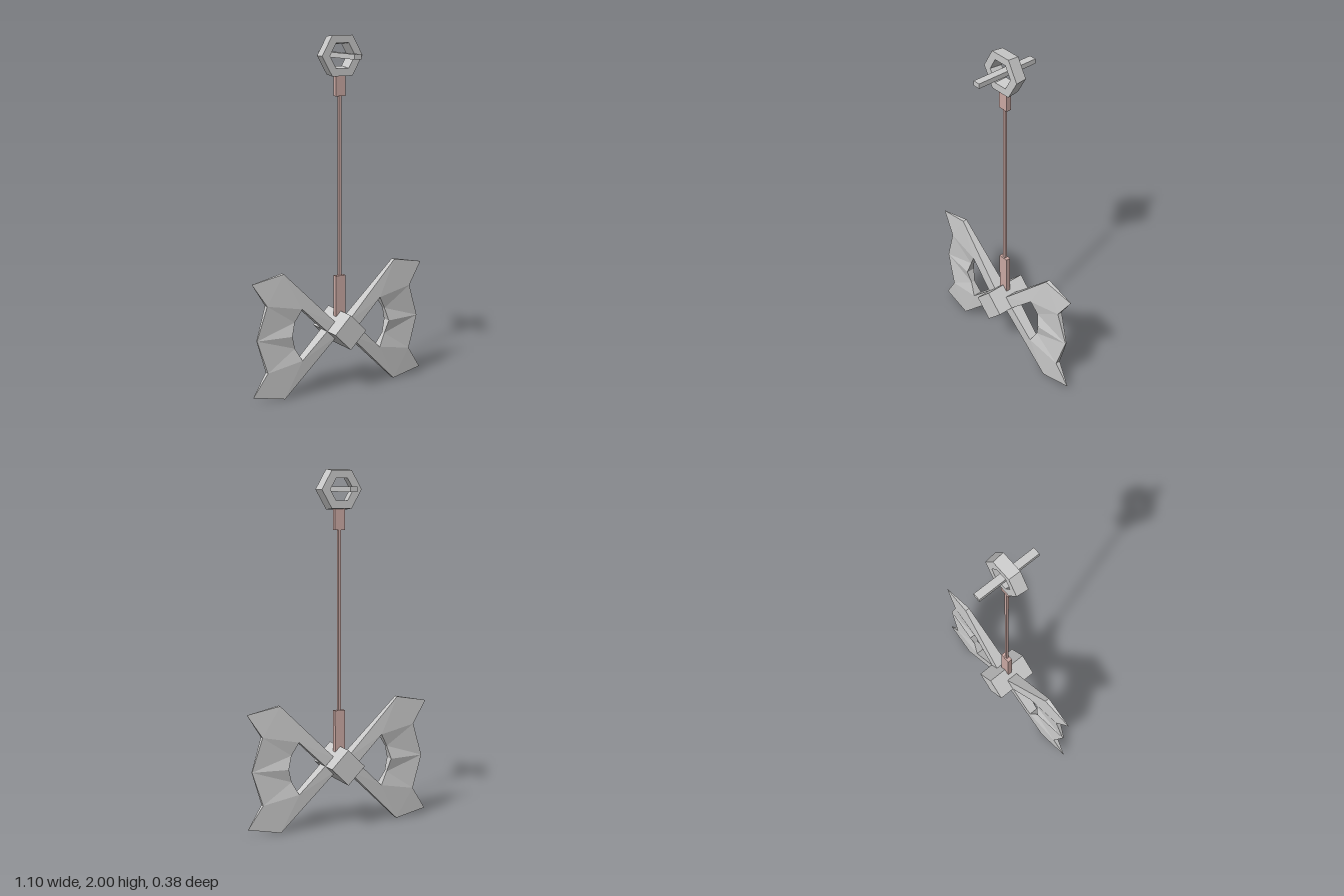
import * as THREE from 'three';

const steel = new THREE.MeshStandardMaterial({ color: 0xcccccc, flatShading: true });
const wood = new THREE.MeshStandardMaterial({ color: 0xccaaa4, flatShading: true });
const HUB_Y = 0.36, RING_Y = 1.89;

// One quarter of the axe head: [x, y, half thickness], counter-clockwise.
const OUTLINE = [
  [0.03, 0.03, 0.036], [0.08, -0.02, 0.036],                      // bar root
  [0.255, 0.148, 0.027], [0.295, 0.075, 0.012], [0.317, 0, 0.026], // inner rim
  [0.525, 0, 0.004], [0.465, 0.19, 0.014],                         // outer rim
  [0.55, 0.32, 0.001], [0.36, 0.357, 0.013],                       // horn
];
const FACES = [[0, 1, 2], [0, 2, 8], [2, 6, 8], [8, 6, 7], [2, 3, 6], [3, 5, 6], [3, 4, 5]];

function bladeGeometry(sx) {
  const pos = [];
  for (const sy of [1, -1]) {
    const point = (i, s) => [OUTLINE[i][0] * sx, OUTLINE[i][1] * sy, OUTLINE[i][2] * s];
    const tri = (a, b, c) => pos.push(...(sx * sy > 0 ? [a, b, c] : [a, c, b]).flat());
    for (const [a, b, c] of FACES) {
      tri(point(a, 1), point(b, 1), point(c, 1));
      tri(point(a, -1), point(c, -1), point(b, -1));
    }
    // Side walls, leaving out the seam where the two quarters join
    OUTLINE.forEach((_, i) => {
      if (i === 4) return;
      const j = (i + 1) % OUTLINE.length;
      tri(point(i, 1), point(i, -1), point(j, -1));
      tri(point(i, 1), point(j, -1), point(j, 1));
    });
  }
  const geo = new THREE.BufferGeometry();
  geo.setAttribute('position', new THREE.Float32BufferAttribute(pos, 3));
  geo.computeVertexNormals();
  return geo;
}

export function createModel() {
  const model = new THREE.Group();
  const add = (name, geo, mat, y) => {
    const mesh = new THREE.Mesh(geo, mat);
    mesh.name = name;
    mesh.position.y = y;
    model.add(mesh);
    return mesh;
  };
  const box = (name, w, y0, y1, d, mat) =>
    add(name, new THREE.BoxGeometry(w, y1 - y0, d), mat, (y0 + y1) / 2);

  // Axe head: diamond hub with a blade on each side
  const side = 0.1 * Math.SQRT2;
  add('hub', new THREE.BoxGeometry(side, side, 0.25), steel, HUB_Y).rotation.z = Math.PI / 4;
  add('leftBlade', bladeGeometry(1), steel, HUB_Y);
  add('rightBlade', bladeGeometry(-1), steel, HUB_Y);

  // Handle: thin shaft between two collars
  box('lowerCollar', 0.06, 0.4, 0.665, 0.028, wood);
  box('shaft', 0.016, 0.6, 1.7, 0.014, wood);
  box('upperCollar', 0.06, 1.67, 1.79, 0.028, wood);

  // Pommel: tapered hexagonal ring with a pin through its centre
  const profile = [[0.069, -0.037], [0.119, -0.037], [0.127, 0.032], [0.079, 0.032], [0.069, -0.037]]
    .map(([r, h]) => new THREE.Vector2(r, h));
  const ring = new THREE.LatheGeometry(profile, 6, Math.PI / 6).rotateX(Math.PI / 2);
  add('pommelRing', ring, steel, RING_Y);
  box('pommelPin', 0.042, RING_Y - 0.013, RING_Y + 0.015, 0.38, steel);

  return model;
}
